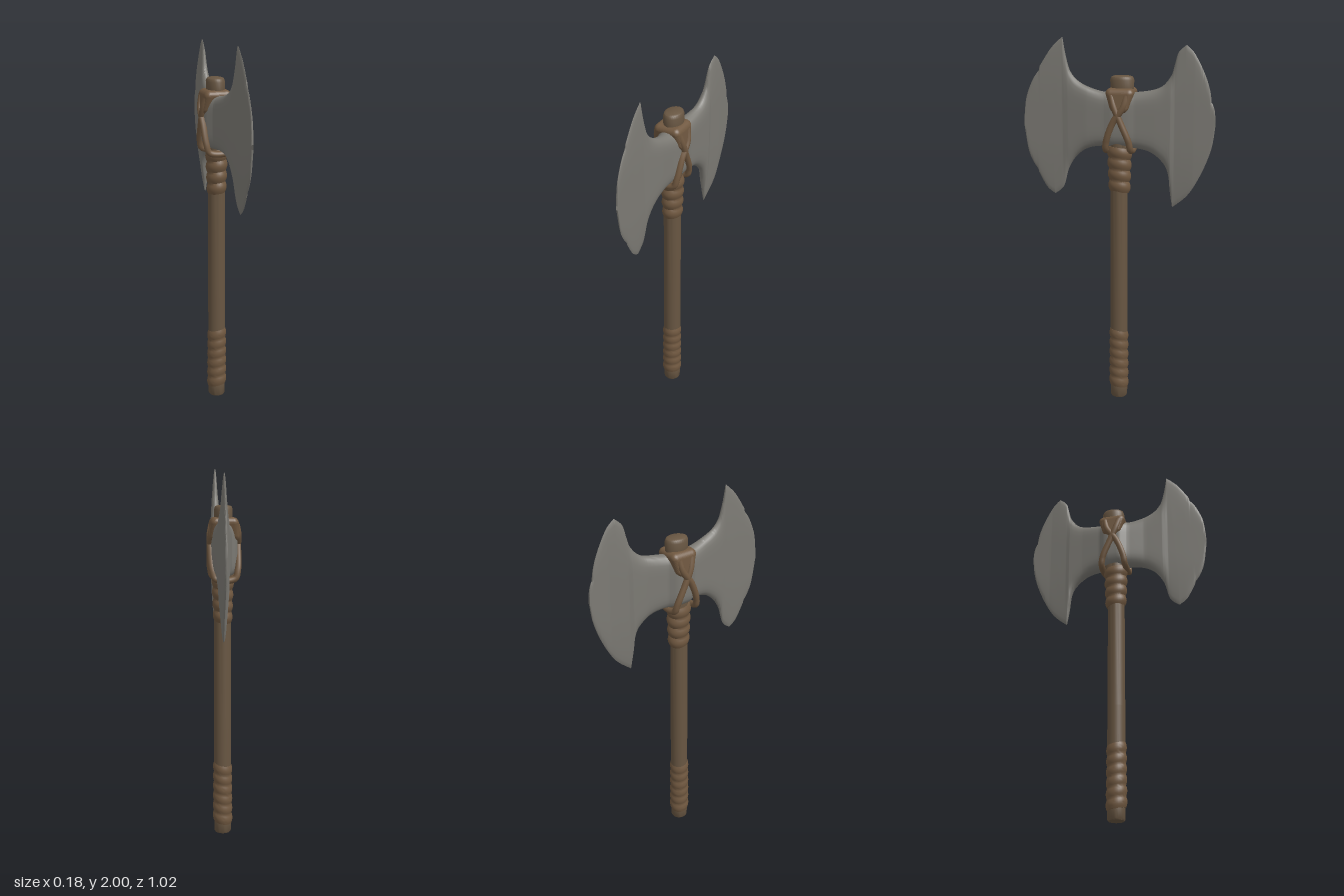
import * as THREE from 'three';
import { toCreasedNormals } from 'three/addons/utils/BufferGeometryUtils.js';
import { RoundedBoxGeometry } from 'three/addons/geometries/RoundedBoxGeometry.js';

const mat = (name, color, side = THREE.FrontSide) => {
  const m = new THREE.MeshStandardMaterial({ color, side });
  m.name = name;
  return m;
};

// Smooth [z, y] polyline made of spline pieces that meet in sharp corners
const outline = (...pieces) => pieces.flatMap((pts) =>
  new THREE.SplineCurve(pts.map(([z, y]) => new THREE.Vector2(z, y))).getPoints(pts.length * 5)
    .map((p) => [p.x, p.y])).sort((a, b) => a[0] - b[0]);

// Linear lookup in a sorted table of rows [key, value, ...]
const lookup = (rows, key, col = 1) => {
  let i = 1;
  while (i < rows.length - 1 && rows[i][0] < key) i++;
  const a = rows[i - 1], b = rows[i];
  const t = THREE.MathUtils.clamp((key - a[0]) / (b[0] - a[0] || 1), 0, 1);
  return a[col] + (b[col] - a[col]) * t;
};

// Both blades and the socket between them: one loft along z
function bladeGeometry() {
  const upper = outline(
    [[-0.51, 1.57], [-0.505, 1.64], [-0.492, 1.68]],
    [[-0.492, 1.68], [-0.484, 1.69], [-0.487, 1.715]].reverse(),
    [[-0.484, 1.725], [-0.465, 1.79], [-0.435, 1.86], [-0.395, 1.93], [-0.355, 1.97]],
    [[-0.355, 1.97], [-0.313, 1.93], [-0.295, 1.87], [-0.275, 1.81], [-0.217, 1.75], [-0.1, 1.725],
      [0, 1.72], [0.095, 1.725], [0.2, 1.765], [0.255, 1.82], [0.28, 1.9], [0.297, 2]],
    [[0.297, 2], [0.36, 1.94], [0.424, 1.845]],
    [[0.428, 1.825], [0.463, 1.775], [0.498, 1.69], [0.51, 1.61], [0.515, 1.54]]);
  const lower = outline(
    [[-0.51, 1.57], [-0.493, 1.45], [-0.445, 1.32], [-0.376, 1.2], [-0.292, 1.125]],
    [[-0.292, 1.125], [-0.28, 1.2], [-0.268, 1.3], [-0.235, 1.365], [-0.154, 1.42], [0, 1.435],
      [0.138, 1.43], [0.217, 1.387], [0.27, 1.31], [0.3, 1.21], [0.35, 1.165]],
    [[0.35, 1.165], [0.395, 1.2], [0.44, 1.28]],
    [[0.443, 1.295], [0.475, 1.345], [0.497, 1.41], [0.515, 1.54]]);
  // z, centre x, half thickness
  const body = [[-0.51, 0.041, 0.006], [-0.4, 0.04, 0.013], [-0.3, 0.031, 0.023], [-0.28, 0.03, 0.03],
    [-0.2, 0.025, 0.036], [-0.09, 0.013, 0.048], [-0.045, 0, 0.068], [0.025, 0, 0.068],
    [0.07, 0.01, 0.049], [0.17, 0.018, 0.035], [0.27, 0.015, 0.025], [0.3, 0.015, 0.018], [0.515, 0.016, 0.005]];
  const stations = [...upper, ...lower, ...body].map((r) => r[0]).sort((a, b) => a - b)
    .filter((z, i, all) => i === 0 || z - all[i - 1] > 0.0006);
  const n = 32, pos = [], index = [];
  stations.forEach((z, s) => {
    const top = lookup(upper, z), low = lookup(lower, z);
    const cx = lookup(body, z), h = lookup(body, z, 2);
    for (let k = 0; k < n; k++) {
      const a = (k / n) * Math.PI * 2, v = Math.cos(a);
      const y = (top + low) / 2 + v * (top - low) / 2;
      const thin = 1 - 0.75 * Math.min(1, Math.max(0, Math.abs(y - 1.57) - 0.16) / 0.4);
      const x = Math.sign(Math.sin(a)) * Math.sqrt(Math.max(0, 1 - v ** 6)) * h * thin;
      pos.push(cx + (k % (n / 2) ? x : 0), y, z);
      if (s) {
        const k2 = (k + 1) % n, p = (s - 1) * n, q = s * n;
        index.push(p + k, q + k, p + k2, p + k2, q + k, q + k2);
      }
    }
  });
  const g = new THREE.BufferGeometry();
  g.setAttribute('position', new THREE.Float32BufferAttribute(pos, 3));
  g.setIndex(index);
  return toCreasedNormals(g, 0.8);
}

// Lathe from [radius, y] points; slant tilts the bands, sx flattens the width
function turned(points, slant = 0, sx = 1) {
  const g = new THREE.LatheGeometry(points.map(([r, y]) => new THREE.Vector2(r, y)), 28);
  const p = g.attributes.position;
  for (let i = 0; i < p.count; i++) {
    const x = p.getX(i), z = p.getZ(i);
    p.setY(i, p.getY(i) + slant * (x + z));
    p.setX(i, x * sx);
  }
  return toCreasedNormals(g, 0.8);
}

// Wound cord profile: a row of rounded bumps, closed at both ends
function wrapProfile(y0, y1, r0, r1, bump, turns) {
  const pts = [[0.03, y0]];
  for (let i = 0; i <= turns * 6; i++) {
    const t = i / (turns * 6);
    pts.push([r0 + (r1 - r0) * t + bump * Math.abs(Math.sin(t * turns * Math.PI)), y0 + (y1 - y0) * t]);
  }
  return [...pts, [0.03, y1]];
}

export function createModel() {
  const steel = mat('steel', 0x7c7a74, THREE.DoubleSide);
  const wood = mat('wood', 0x685642);
  const leather = mat('leather', 0x705840);
  const group = new THREE.Group();
  const add = (name, geometry, material, x = 0, y = 0, z = 0) => {
    const mesh = new THREE.Mesh(geometry, material);
    mesh.name = name;
    mesh.position.set(x, y, z);
    group.add(mesh);
    return mesh;
  };

  add('doubleBlade', bladeGeometry(), steel);

  // Handle
  add('shaft', turned([[0, 0], [0.041, 0], [0.046, 0.008], [0.047, 0.06], [0.047, 0.6],
    [0.046, 1.2], [0.047, 1.5]]), wood, 0.005, 0, -0.001);
  const cap = add('handleTop', turned([[0.056, 1.4], [0.056, 1.7], [0.062, 1.735], [0.063, 1.785],
    [0.057, 1.8], [0.045, 1.805], [0, 1.806]]), wood, 0.003, 0, -0.017);
  cap.scale.x = 0.77;

  // Wound grips
  add('lowerGrip', turned(wrapProfile(0.06, 0.4, 0.049, 0.047, 0.006, 6), 0.15), leather, 0.005);
  add('upperGrip', turned(wrapProfile(1.19, 1.43, 0.05, 0.06, 0.009, 4), 0.1, 0.88), leather, 0.005, 0, -0.003);

  // Leather saddle over the head, narrowing downwards on its sides
  const saddle = new RoundedBoxGeometry(0.155, 0.13, 0.152, 5, 0.03);
  const p = saddle.attributes.position;
  for (let i = 0; i < p.count; i++) {
    const t = 0.5 - p.getY(i) / 0.13;
    p.setX(i, p.getX(i) * (0.93 + 0.13 * t));
    p.setZ(i, p.getZ(i) * (1 - 0.5 * t * t));
  }
  saddle.computeVertexNormals();
  add('saddle', saddle, leather, 0, 1.68, -0.013);

  // Crossed straps, each running down one side, under the head and up the other
  for (const [name, a, b] of [['strapFront', -0.05, 0.062], ['strapBack', 0.03, -0.07]]) {
    const half = [[0.06, 1.71, a], [0.072, 1.65, a * 0.6 - 0.005], [0.072, 1.57, b * 0.3],
      [0.066, 1.47, b * 0.9], [0.05, 1.425, b]];
    const path = [...half, ...half.slice().reverse().map(([x, y, z]) => [-x - 0.003, y, z])];
    const curve = new THREE.CatmullRomCurve3(path.map((q) => new THREE.Vector3(...q)));
    add(name, new THREE.TubeGeometry(curve, 70, 0.017, 10), leather);
  }
  return group;
}
